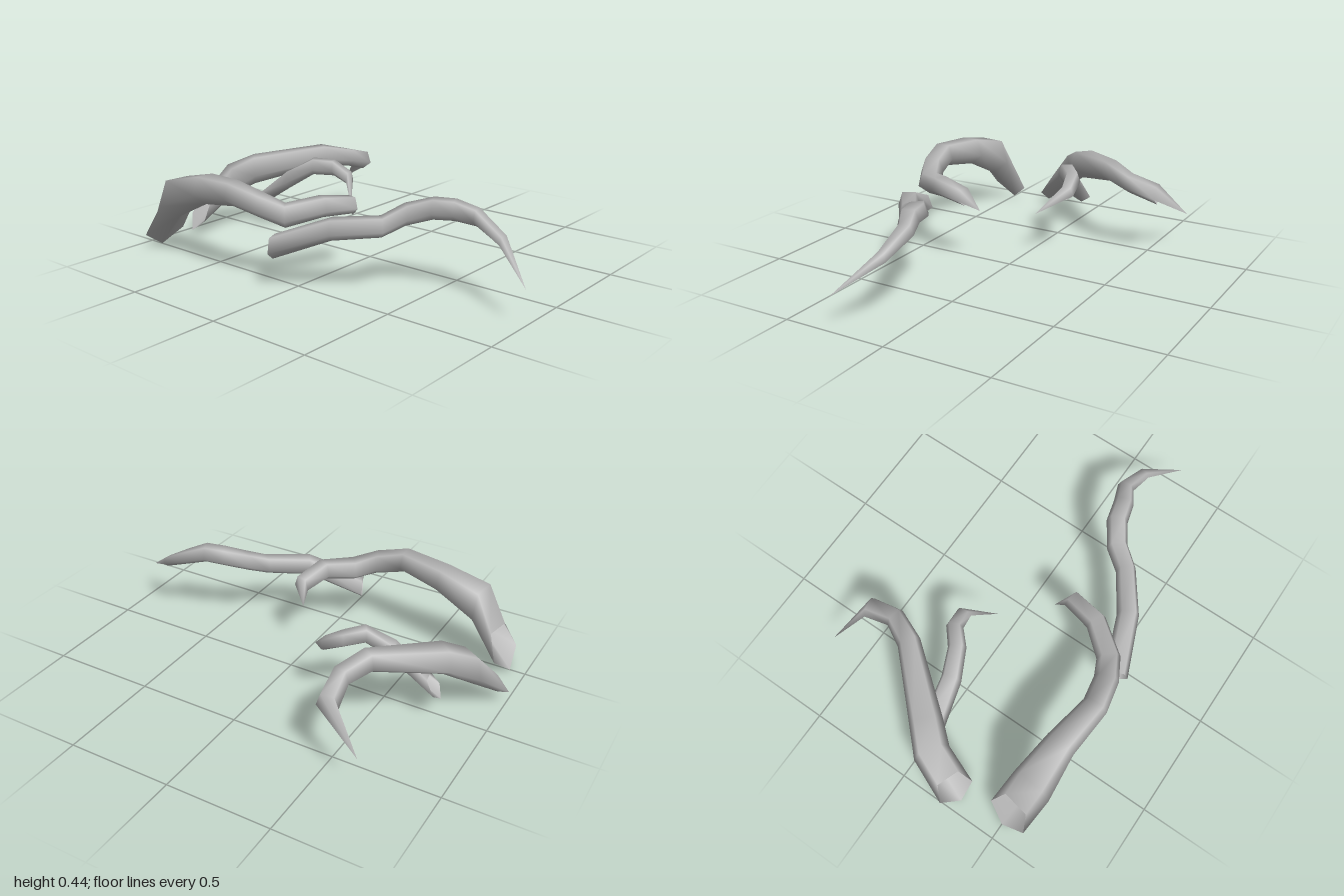
import * as THREE from 'three';

const SIDES = 5;

// Each root: rings as [x, y, z, radius], a pointed tip, and how far the open mouth slants forward
const ROOTS = [
  {
    name: 'largeCurvedRoot', lean: 0.05, tip: [-0.15, 0.25, 0.02],
    rings: [
      [-0.51, 0.11, -0.875, 0.108], [-0.535, 0.29, -0.74, 0.105], [-0.545, 0.365, -0.53, 0.076],
      [-0.578, 0.39, -0.31, 0.062], [-0.55, 0.355, -0.17, 0.06], [-0.5, 0.315, -0.07, 0.058],
      [-0.365, 0.345, 0.03, 0.052], [-0.21, 0.325, 0.065, 0.045],
    ],
  },
  {
    name: 'largeForkedRoot', lean: 0.05, tip: [0.63, 0.16, -0.68],
    rings: [
      [-0.24, 0.105, -0.925, 0.092], [-0.085, 0.25, -0.865, 0.088], [0.005, 0.31, -0.775, 0.08],
      [0.27, 0.373, -0.535, 0.056], [0.4, 0.345, -0.472, 0.05], [0.54, 0.303, -0.49, 0.052],
    ],
  },
  {
    name: 'longWindingRoot', lean: 0, tip: [-0.26, 0.16, 1.0],
    rings: [
      [-0.565, 0.185, -0.09, 0.058], [-0.46, 0.29, 0.16, 0.054], [-0.335, 0.305, 0.335, 0.05],
      [-0.245, 0.35, 0.395, 0.052], [-0.18, 0.38, 0.49, 0.052], [-0.155, 0.385, 0.585, 0.05],
      [-0.115, 0.36, 0.67, 0.042], [-0.135, 0.285, 0.815, 0.03],
    ],
  },
  {
    name: 'smallSideRoot', lean: 0.035, tip: [0.05, 0.215, -0.16],
    rings: [
      [0.005, 0.15, -0.74, 0.058], [0.032, 0.29, -0.55, 0.05], [0.08, 0.365, -0.43, 0.044],
      [0.148, 0.355, -0.355, 0.042], [0.163, 0.31, -0.265, 0.036],
    ],
  },
];

// Five-sided tapering tube, open at the mouth; the tip closes only the upper faces
function rootGeometry({ rings, tip, lean }) {
  const centres = rings.map(([x, y, z]) => new THREE.Vector3(x, y, z));
  const up = new THREE.Vector3(0, 1, 0);
  const last = rings.length - 1;
  const heading = (a, b) => centres[b].clone().sub(centres[a]).setY(0).normalize();
  const positions = [], index = [];

  rings.forEach((ring, i) => {
    const t = new THREE.Vector3();
    if (i > 0) t.add(heading(i - 1, i));
    if (i < last) t.add(heading(i, i + 1));
    t.normalize();
    const side = up.clone().cross(t);
    for (let k = 0; k < SIDES; k++) {
      const a = (k / SIDES) * Math.PI * 2;
      const p = centres[i].clone()
        .addScaledVector(side, ring[3] * Math.sin(a))
        .addScaledVector(up, -ring[3] * Math.cos(a));
      if (i === 0) p.addScaledVector(t, -lean * Math.cos(a));
      positions.push(p.x, p.y, p.z);
    }
  });

  for (let i = 0; i < last; i++) {
    for (let k = 0; k < SIDES; k++) {
      const a = i * SIDES + k, b = i * SIDES + (k + 1) % SIDES;
      index.push(a, b, b + SIDES, a, b + SIDES, a + SIDES);
    }
  }

  positions.push(...tip);
  const end = last * SIDES;
  for (let k = 1; k < SIDES - 1; k++) index.push(end + k, end + k + 1, end + SIDES);

  const geometry = new THREE.BufferGeometry();
  geometry.setAttribute('position', new THREE.Float32BufferAttribute(positions, 3));
  geometry.setIndex(index);
  geometry.computeVertexNormals();
  return geometry;
}

export function createModel() {
  const group = new THREE.Group();
  group.name = 'roots';
  const bark = new THREE.MeshStandardMaterial({ color: 0xb8b8b8, side: THREE.DoubleSide });
  bark.name = 'greyBark';
  for (const root of ROOTS) {
    const mesh = new THREE.Mesh(rootGeometry(root), bark);
    mesh.name = root.name;
    group.add(mesh);
  }
  return group;
}
